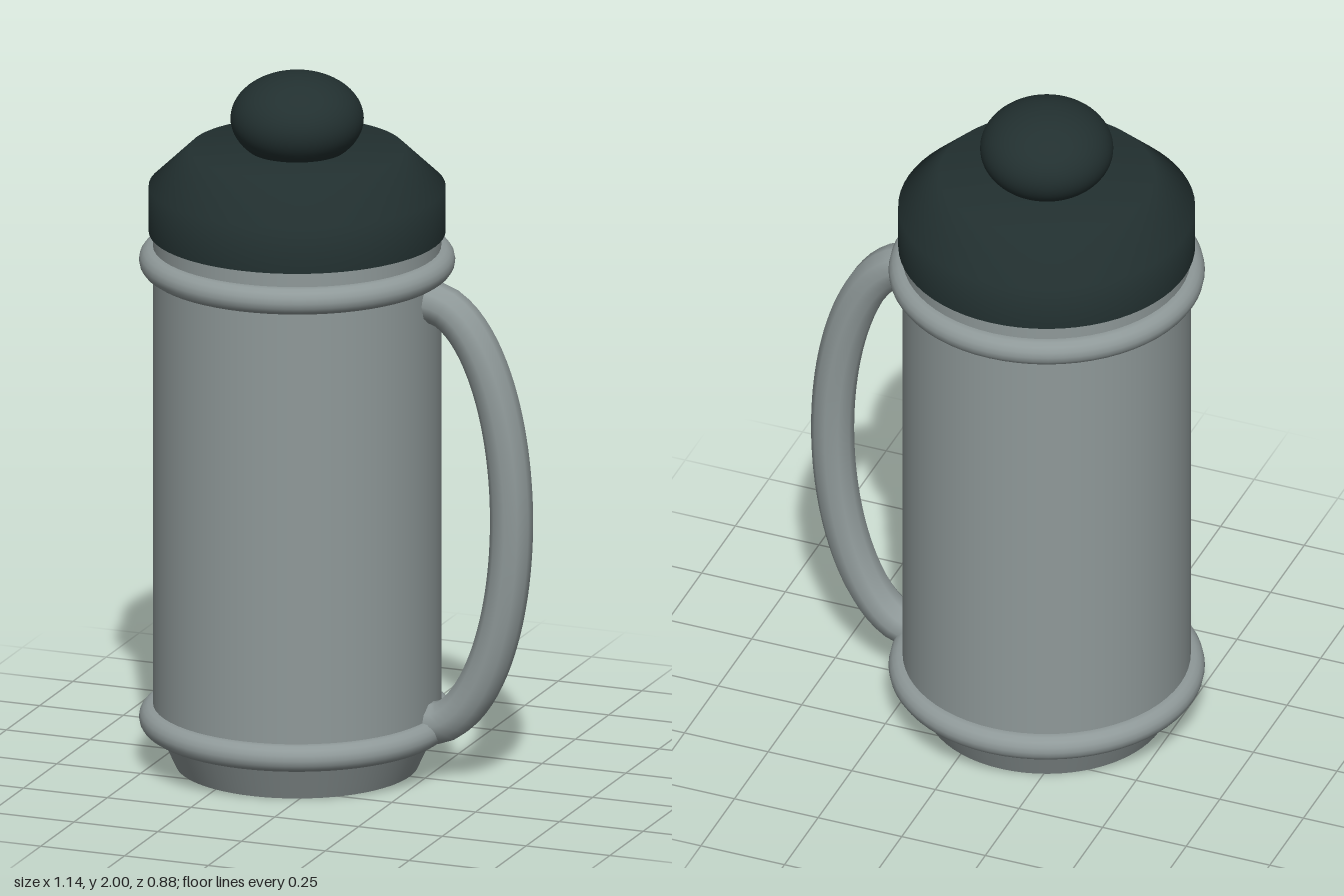
import * as THREE from 'three';

const AXIS_X = -0.132; // the pot stands off-centre to leave room for the handle

export function createModel() {
  const model = new THREE.Group();
  model.name = 'coffeePot';
  const steel = new THREE.MeshStandardMaterial({ color: 0x8f9999 });
  steel.name = 'brushedSteel';
  const dark = new THREE.MeshStandardMaterial({ color: 0x223030 });
  dark.name = 'darkPlastic';

  const add = (name, geometry, material, x = AXIS_X, y = 0) => {
    const mesh = new THREE.Mesh(geometry, material);
    mesh.name = name;
    mesh.position.set(x, y, 0);
    model.add(mesh);
    return mesh;
  };
  const lathe = (points) =>
    new THREE.LatheGeometry(points.map(([r, y]) => new THREE.Vector2(r, y)), 64);

  // Straight body and tapered foot
  add('body', new THREE.CylinderGeometry(0.4, 0.4, 1.42, 64), steel, AXIS_X, 0.84);
  add('foot', new THREE.CylinderGeometry(0.4, 0.337, 0.137, 64), steel, AXIS_X, 0.0685);

  // Rounded bands around the body
  for (const [name, y] of [['lowerBand', 0.137], ['upperBand', 1.462]]) {
    const band = new THREE.TorusGeometry(0.4, 0.039, 16, 64);
    band.rotateX(Math.PI / 2);
    add(name, band, steel, AXIS_X, y);
  }

  // Lid: upright skirt, softly shaded shoulder, flat top and underside
  add('lid', lathe([[0.412, 1.543], [0.412, 1.675], [0.3, 1.782], [0, 1.782]]), dark);
  add('lidUnderside', lathe([[0, 1.543], [0.412, 1.543]]), dark);

  // Flattened ball knob
  add('knob', new THREE.SphereGeometry(0.185, 48, 32).scale(1, 0.7, 1), dark, AXIS_X, 1.87);

  // Handle: half an ellipse, its ends buried in the body
  const path = [];
  for (let i = 0; i <= 16; i++) {
    const a = -Math.PI / 2 + (Math.PI * i) / 16;
    path.push(new THREE.Vector3(0.258 + 0.25 * Math.cos(a), 0.772 + 0.612 * Math.sin(a), 0));
  }
  const curve = new THREE.CatmullRomCurve3(path);
  add('handle', new THREE.TubeGeometry(curve, 48, 0.06, 10), steel, 0);

  return model;
}
